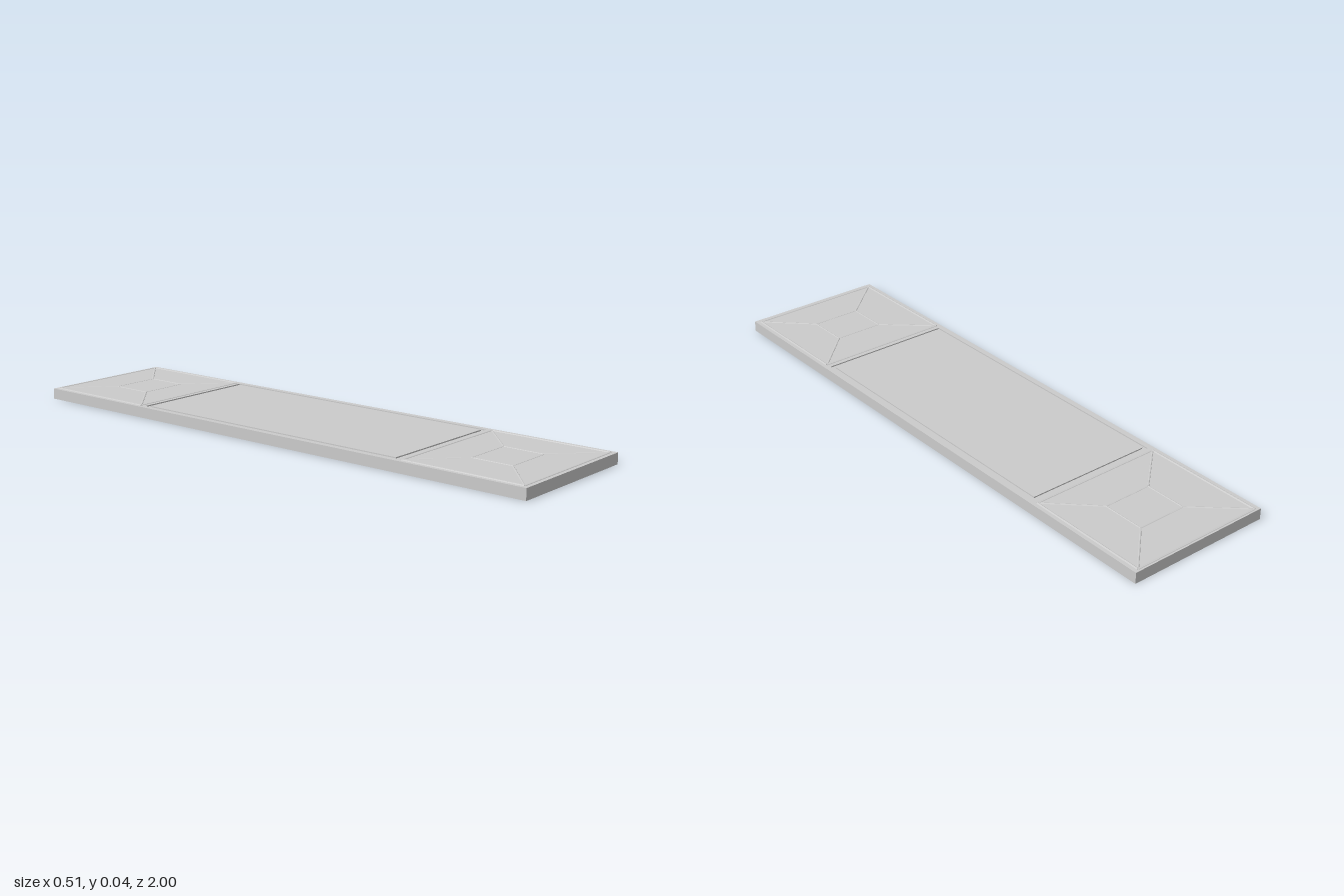
import * as THREE from 'three';

const TOP = 0.0375;      // upper face of the slab
const GROOVE = 0.004;    // depth of the panel groove
const HALF_X = 0.256;

const material = new THREE.MeshStandardMaterial({ color: 0xcccccc, flatShading: true });

function rectangle(PathType, halfX, halfZ, offset = 0) {
  const p = new PathType();
  p.moveTo(-halfX, -halfZ + offset);
  p.lineTo(halfX, -halfZ + offset);
  p.lineTo(halfX, halfZ + offset);
  p.lineTo(-halfX, halfZ + offset);
  p.closePath();
  return p;
}

// Flat plate from a plan outline, standing on height y
function plate(name, shape, y, height) {
  const geo = new THREE.ExtrudeGeometry(shape, { depth: height, bevelEnabled: false });
  geo.rotateX(-Math.PI / 2);
  const mesh = new THREE.Mesh(geo, material);
  mesh.name = name;
  mesh.position.y = y;
  return mesh;
}

// Rounded moulding lying half sunk in the slab between two plan points
function moulding(name, [x1, z1], [x2, z2], radius, crest) {
  const length = Math.hypot(x2 - x1, z2 - z1);
  const geo = new THREE.CylinderGeometry(radius, radius, length, 10);
  geo.rotateX(Math.PI / 2);
  const mesh = new THREE.Mesh(geo, material);
  mesh.name = name;
  mesh.position.set((x1 + x2) / 2, crest - radius, (z1 + z2) / 2);
  mesh.rotation.y = Math.atan2(x2 - x1, z2 - z1);
  return mesh;
}

// Square end panel: outer frame, small inner frame and four diagonals
function endPanel(name, z) {
  const group = new THREE.Group();
  group.name = name;
  group.position.z = z;
  const corners = [[-1, -1], [1, -1], [1, 1], [-1, 1]];
  const outer = corners.map(([x, s]) => [x * 0.239, s * 0.214]);
  const inner = corners.map(([x, s]) => [x * 0.087 + 0.005, s * 0.073]);
  corners.forEach((_, i) => {
    const next = (i + 1) % 4;
    group.add(moulding('outerFrameBar', outer[i], outer[next], 0.005, 0.04));
    group.add(moulding('innerFrameBar', inner[i], inner[next], 0.0035, 0.039));
    group.add(moulding('diagonalBar', outer[i], inner[i], 0.0045, 0.0395));
  });
  return group;
}

export function createModel() {
  const model = new THREE.Group();
  model.name = 'panelledSlab';

  // Slab, with its top layer cut by a narrow rectangular groove
  model.add(plate('base', rectangle(THREE.Shape, HALF_X, 1), 0, TOP - GROOVE));
  const surround = rectangle(THREE.Shape, HALF_X, 1);
  surround.holes.push(rectangle(THREE.Path, 0.236, 0.54, 0.004));
  model.add(plate('topSurround', surround, TOP - GROOVE, GROOVE));
  model.add(plate('centrePanel', rectangle(THREE.Shape, 0.225, 0.527, 0.004), TOP - GROOVE, GROOVE));

  // Decorated ends
  model.add(endPanel('frontEndPanel', 0.769));
  model.add(endPanel('backEndPanel', -0.776));
  return model;
}
